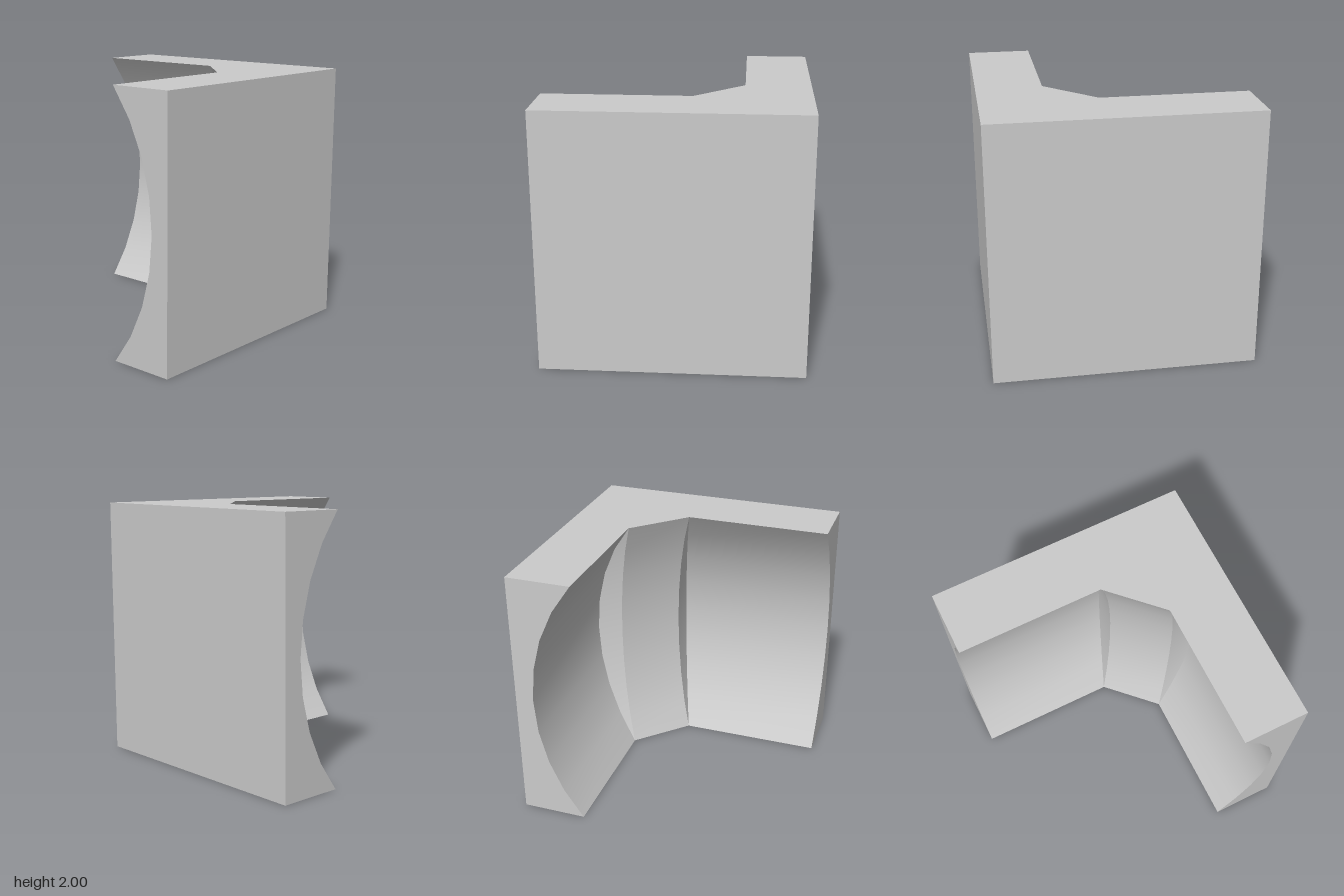
import * as THREE from 'three';

const SEGMENTS = 8;      // steps of the concave arc
const DEPTH = 0.357;     // deepest point of the hollow in the wings
const CORNER = 0.4;      // share of that depth in the chamfered corner

const RADIUS = (1 + DEPTH * DEPTH) / (2 * DEPTH);
const HALF_ANGLE = Math.asin(1 / RADIUS);

// Outline of the L at one height; d is the hollow's depth there
function outline(d) {
  const a = d * CORNER;
  return [
    [-1, 1], [1, 1], [1, -1],
    [0.5 + d, -1], [0.5 + d, 0.125 + a], [0.5 + a, 0.125 + a],
    [0.125 + a, 0.5 + a], [0.125 + a, 0.5 + d], [-1, 0.5 + d],
  ];
}

// Heights and outlines along the arc, bottom to top
const levels = [];
for (let i = 0; i <= SEGMENTS; i++) {
  const t = (2 * i / SEGMENTS - 1) * HALF_ANGLE;
  const d = Math.max(0, RADIUS * Math.cos(t) - (RADIUS - DEPTH));
  levels.push({ y: 1 + RADIUS * Math.sin(t), points: outline(d) });
}

// One side of the outline swept up through all levels
function sideStrip(k) {
  const pos = [], index = [];
  levels.forEach(({ y, points }, i) => {
    const p = points[k], q = points[(k + 1) % points.length];
    pos.push(p[0], y, p[1], q[0], y, q[1]);
    if (i > 0) {
      const a = 2 * (i - 1);
      index.push(a, a + 1, a + 3, a, a + 3, a + 2);
    }
  });
  const g = new THREE.BufferGeometry();
  g.setAttribute('position', new THREE.Float32BufferAttribute(pos, 3));
  g.setIndex(index);
  g.computeVertexNormals();
  return g;
}

// Flat L-shaped end; side is +1 for the top, -1 for the bottom
function cap(side) {
  const pts = [[-1, 1], [1, 1], [1, -1], [0.5, -1], [0.5, 0.125], [0.125, 0.5], [-1, 0.5]];
  const shape = new THREE.Shape(pts.map(([x, z]) => new THREE.Vector2(x, -side * z)));
  const g = new THREE.ShapeGeometry(shape);
  g.rotateX(-side * Math.PI / 2);
  g.translate(0, side > 0 ? 2 : 0, 0);
  return g;
}

export function createModel() {
  const group = new THREE.Group();
  group.name = 'cornerBlock';
  const material = new THREE.MeshStandardMaterial({ color: 0xcccccc });
  const add = (name, geometry) => {
    const mesh = new THREE.Mesh(geometry, material);
    mesh.name = name;
    group.add(mesh);
  };

  const names = [
    'frontWall', 'leftWall', 'backEnd', 'leftWingHollow', 'leftStep',
    'cornerChamfer', 'rightStep', 'frontWingHollow', 'rightEnd',
  ];
  names.forEach((name, k) => add(name, sideStrip(k)));
  add('topFace', cap(1));
  add('bottomFace', cap(-1));
  return group;
}
